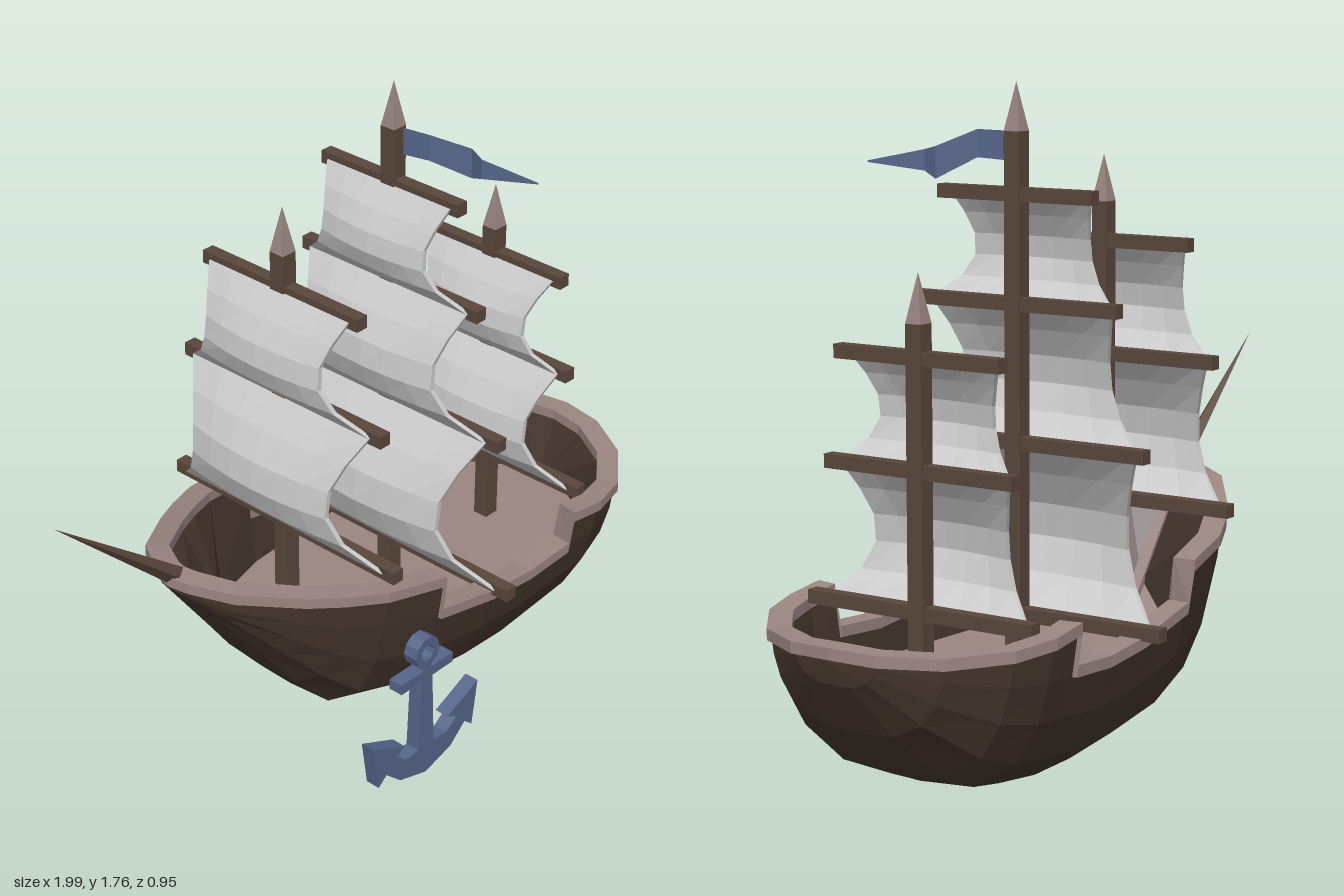
import * as THREE from 'three';

const V = (x, y, z) => new THREE.Vector3(x, y, z);
const mat = (color, side = THREE.FrontSide) =>
  new THREE.MeshStandardMaterial({ color, side, flatShading: true });
const hullMat = mat(0x46362e, THREE.DoubleSide);
const trimMat = mat(0x9a8582, THREE.DoubleSide);
const woodMat = mat(0x5a473c);
const tipMat = mat(0x9a8582);
const sailMat = mat(0xcccccc);
const blueMat = mat(0x56658a, THREE.DoubleSide);

function add(parent, name, geometry, material, x = 0, y = 0, z = 0) {
  const mesh = new THREE.Mesh(geometry, material);
  mesh.name = name;
  mesh.position.set(x, y, z);
  parent.add(mesh);
  return mesh;
}

// Surface through a grid of points, one row per cross-section
function loft(rows) {
  const n = rows[0].length;
  const index = [];
  for (let i = 0; i < rows.length - 1; i++) {
    for (let j = 0; j < n - 1; j++) {
      const a = i * n + j, c = a + n;
      index.push(a, a + 1, c, a + 1, c + 1, c);
    }
  }
  const g = new THREE.BufferGeometry().setFromPoints(rows.flat());
  g.setIndex(index);
  g.computeVertexNormals();
  return g;
}

// Hull stations: x, half width, keel height, waist height, bulwark height
const STATIONS = [
  [-0.63, 0, 0.62, 0.63, 0.64],
  [-0.615, 0.05, 0.6, 0.62, 0.635],
  [-0.555, 0.15, 0.53, 0.58, 0.62],
  [-0.405, 0.25, 0.33, 0.51, 0.58],
  [-0.31, 0.3, 0.2, 0.475, 0.56],
  [-0.2, 0.345, 0.08, 0.44, 0.54],
  [-0.015, 0.375, 0.025, 0.395, 0.51],
  [-0.015, 0.375, 0.025, 0.395, 0.395],
  [0.2, 0.378, 0.002, 0.35, 0.35],
  [0.36, 0.378, 0, 0.335, 0.335],
  [0.52, 0.38, 0.02, 0.345, 0.345],
  [0.52, 0.38, 0.02, 0.345, 0.455],
  [0.63, 0.385, 0.04, 0.35, 0.44],
  [0.75, 0.355, 0.09, 0.36, 0.43],
  [0.885, 0.255, 0.225, 0.385, 0.425],
  [0.965, 0.12, 0.36, 0.42, 0.43],
  [0.98, 0, 0.42, 0.425, 0.435],
];
// Cross-section: width fraction, height fraction
const SECTION = [[0, 0], [0.42, 0.04], [0.76, 0.3], [0.92, 0.65], [1, 1]];
const DECK_Y = 0.25;

const flare = ([, w, , base, top]) => (w ? w + (top - base) * 0.15 : 0);

// Inner half width of the hull at deck level
function deckHalf([, w, keel, base]) {
  const t = (DECK_Y - keel) / (base - keel);
  if (t <= 0) return 0;
  const k = SECTION.findIndex((s) => s[1] >= t);
  const [f0, h0] = SECTION[k - 1], [f1, h1] = SECTION[k];
  return Math.max(0, w * (f0 + ((f1 - f0) * (t - h0)) / (h1 - h0)) - 0.03);
}

function buildHull(ship) {
  // Outer shell
  const shell = STATIONS.map((s) => {
    const [x, w, keel, base, top] = s;
    const half = SECTION.map(([f, h]) => V(x, keel + (base - keel) * h, w * f));
    half.push(V(x, top, flare(s)));
    const other = half.slice(1).map((p) => V(p.x, p.y, -p.z));
    return [...half.reverse(), ...other];
  });
  add(ship, 'hull', loft(shell), hullMat);

  // Rail running round the whole top edge, stepping at the waist
  const side = STATIONS.map((s) => V(s[0], s[4], flare(s)));
  const path = [...side, ...side.slice(1, -1).reverse().map((p) => V(p.x, p.y, -p.z))];
  const N = path.length;
  const rail = path.map((p, i) => {
    const t = path[(i + 1) % N].clone().sub(path[(i + N - 1) % N]).setY(0).normalize();
    const at = (d, y) => V(p.x + t.z * d, p.y + y, p.z - t.x * d);
    return [at(-0.012, 0.024), at(-0.012, -0.006), at(0.05, -0.006), at(0.05, 0.024), at(-0.012, 0.024)];
  });
  add(ship, 'rail', loft([...rail, rail[0]]), trimMat);

  // Inner walls and deck
  const foot = STATIONS.map((s) => {
    const [x, , keel] = s;
    if (x < 0 && keel > DECK_Y) return V(Math.max(x, -0.555), Math.min(keel + 0.03, 0.56), 0);
    return V(Math.min(x, 0.86), DECK_Y, deckHalf(s));
  });
  const flip = (p) => V(p.x, p.y, -p.z);
  const lip = STATIONS.map((s, i) => rail[i][2]);
  add(ship, 'innerWallLeft', loft(foot.map((p, i) => [p, lip[i]])), hullMat);
  add(ship, 'innerWallRight', loft(foot.map((p, i) => [flip(lip[i]), flip(p)])), hullMat);
  add(ship, 'deck', loft(foot.map((p) => [flip(p), p])), trimMat);

  // Stem timber inside the bow
  const stem = add(ship, 'stem', new THREE.BoxGeometry(0.4, 0.03, 0.035), trimMat, -0.44, 0.415, 0);
  stem.rotation.z = -Math.atan2(0.32, 0.24);

  // Bowsprit
  const tip = V(-1, 0.985, 0), base = V(-0.55, 0.6, 0);
  const dir = tip.clone().sub(base);
  const sprit = add(ship, 'bowsprit', new THREE.ConeGeometry(0.03, dir.length(), 4), woodMat);
  sprit.position.copy(base).addScaledVector(dir, 0.5);
  sprit.quaternion.setFromUnitVectors(V(0, 1, 0), dir.normalize());
}

// Thin slab bellied towards the bow, with pinched sides
function sailGeometry(h, topHalf, bottomHalf) {
  const g = new THREE.BoxGeometry(0.014, h, 2, 1, 5, 6);
  const p = g.attributes.position;
  for (let i = 0; i < p.count; i++) {
    const v = THREE.MathUtils.clamp(p.getY(i) / h + 0.5, 0, 1), u = p.getZ(i);
    const belly = Math.sin(Math.PI * Math.pow(v, 0.85));
    const half = THREE.MathUtils.lerp(bottomHalf, topHalf, v) * (1 - 0.3 * belly);
    p.setX(i, p.getX(i) - 0.015 - 0.29 * h * belly * (1 - 0.25 * u * u));
    p.setZ(i, u * half);
  }
  g.computeVertexNormals();
  return g;
}

// Mast with spike, yards [height, half length] and the sails between them
function buildMast(ship, name, x, top, yards) {
  const mast = new THREE.Group();
  mast.name = name;
  mast.position.x = x;
  ship.add(mast);
  const w = 0.046, spike = 0.125;
  const shaft = top - spike - DECK_Y + 0.02;
  add(mast, 'pole', new THREE.BoxGeometry(w, shaft, w), woodMat, 0, top - spike - shaft / 2, 0);
  const cone = new THREE.ConeGeometry(w * Math.SQRT1_2, spike, 4).rotateY(Math.PI / 4);
  add(mast, 'spike', cone, tipMat, 0, top - spike / 2, 0);
  yards.forEach(([y, half], i) => {
    add(mast, 'yard', new THREE.BoxGeometry(0.036, 0.036, half * 2), woodMat, 0, y, 0);
    if (!i) return;
    const [upY, upHalf] = yards[i - 1];
    add(mast, 'sail', sailGeometry(upY - y, upHalf * 0.9, half * 0.9), sailMat, 0, (upY + y) / 2, 0);
  });
}

function buildAnchor(parent) {
  const half = [[0.014, 0.405], [0.014, 0.39], [0.1, 0.39], [0.1, 0.36], [0.02, 0.36], [0.03, 0.14],
    [0.08, 0.135], [0.12, 0.165], [0.085, 0.185], [0.205, 0.24], [0.185, 0.105], [0.155, 0.13], [0.1, 0.08], [0, 0.05]];
  const left = half.slice(0, -1).reverse().map(([x, y]) => [-x, y]);
  const body = new THREE.Shape([...half, ...left].map(([x, y]) => new THREE.Vector2(x, y)));
  const ring = new THREE.Shape().absarc(0, 0.442, 0.046, 0, Math.PI * 2);
  ring.holes.push(new THREE.Path().absarc(0, 0.442, 0.024, 0, Math.PI * 2, true));
  const opts = { depth: 0.042, bevelEnabled: false, curveSegments: 5 };
  const anchor = new THREE.Group();
  anchor.name = 'anchor';
  anchor.position.set(-0.205, 0, 0.433);
  add(anchor, 'anchorBody', new THREE.ExtrudeGeometry(body, opts), blueMat);
  add(anchor, 'anchorRing', new THREE.ExtrudeGeometry(ring, opts), blueMat);
  parent.add(anchor);
}

export function createModel() {
  const model = new THREE.Group();
  model.name = 'sailingShip';
  const ship = new THREE.Group();
  ship.name = 'ship';
  ship.position.z = -0.03;
  model.add(ship);

  buildHull(ship);
  buildMast(ship, 'foreMast', -0.205, 1.555, [[1.325, 0.27], [1.02, 0.35], [0.63, 0.4]]);
  buildMast(ship, 'mainMast', 0.205, 1.76, [[1.475, 0.237], [1.195, 0.31], [0.835, 0.393], [0.385, 0.445]]);
  buildMast(ship, 'rearMast', 0.625, 1.315, [[1.105, 0.25], [0.825, 0.285], [0.47, 0.343]]);

  // Wavy pennant: x, z, upper edge, lower edge
  const flag = [[0.21, 0, 1.635, 1.56], [0.22, 0.08, 1.637, 1.565], [0.3, 0.155, 1.595, 1.512],
    [0.285, 0.2, 1.585, 1.53], [0.33, 0.35, 1.553, 1.549]];
  add(model, 'pennant', loft(flag.map(([x, z, a, b]) => [V(x, a, z), V(x, b, z)])), blueMat);

  buildAnchor(model);
  return model;
}
